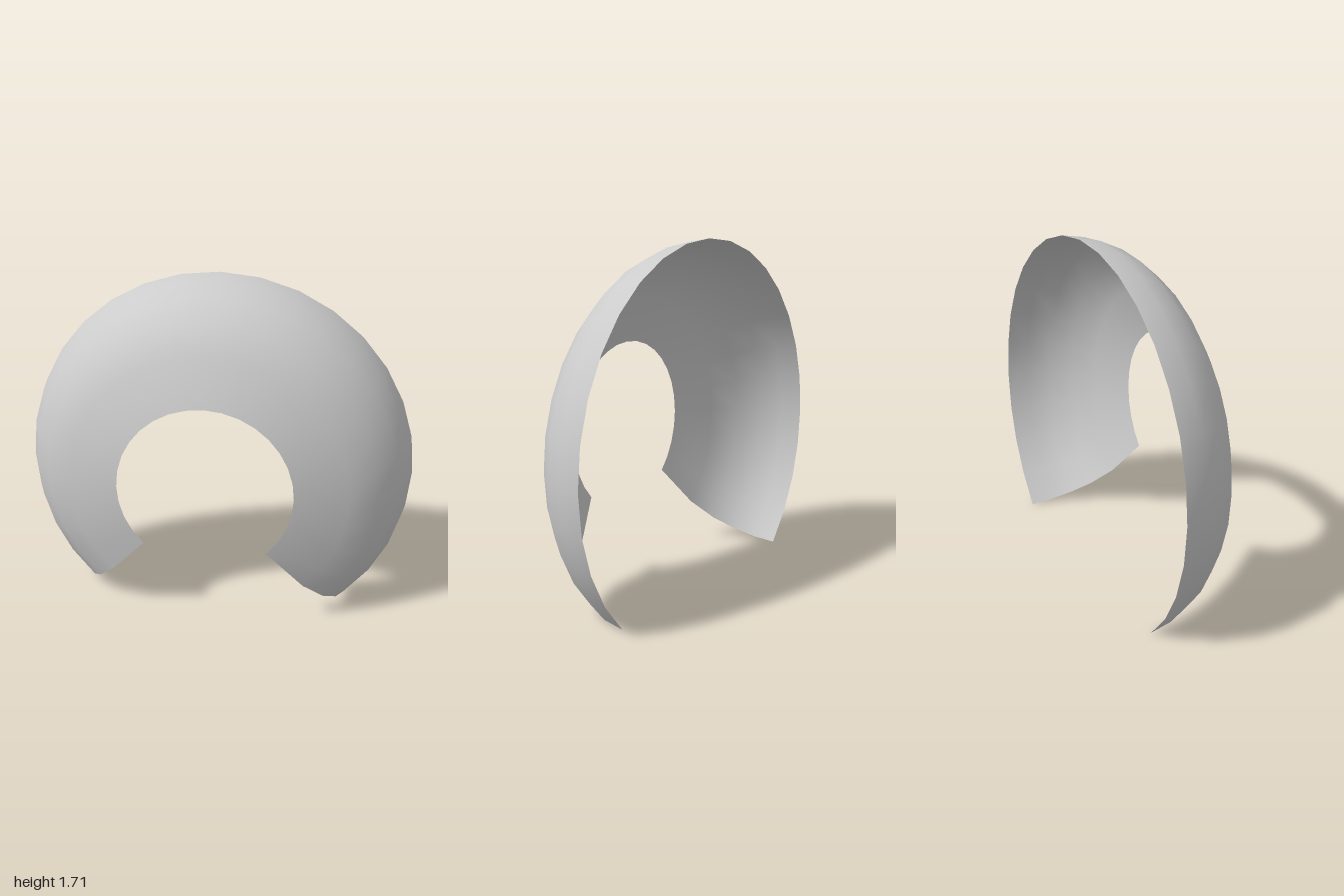
import * as THREE from 'three';

export function createModel() {
  const group = new THREE.Group();

  // Rings of the shell from the back rim to the front opening: radius, z, centre height
  const rings = [
    [1.0, -0.243, 0.707],
    [0.98, -0.13, 0.707],
    [0.929, -0.02, 0.707],
    [0.838, 0.083, 0.707],
    [0.698, 0.17, 0.713],
    [0.437, 0.243, 0.743],
  ];

  // Three-quarter sweep with the gap at the bottom, axis turned to face +z
  const profile = rings.map(([r, z]) => new THREE.Vector2(r, z));
  const geometry = new THREE.LatheGeometry(profile, 24, Math.PI / 4, Math.PI * 1.5);
  geometry.rotateX(Math.PI / 2);

  // Lift each ring to its centre height; the opening sits slightly higher
  const pos = geometry.attributes.position;
  for (let i = 0; i < pos.count; i++) {
    pos.setY(i, pos.getY(i) + rings[i % rings.length][2]);
  }
  geometry.computeVertexNormals();

  const shell = new THREE.Mesh(
    geometry,
    new THREE.MeshStandardMaterial({ color: 0xcccccc, side: THREE.DoubleSide })
  );
  shell.name = 'curvedShell';
  group.add(shell);
  return group;
}
